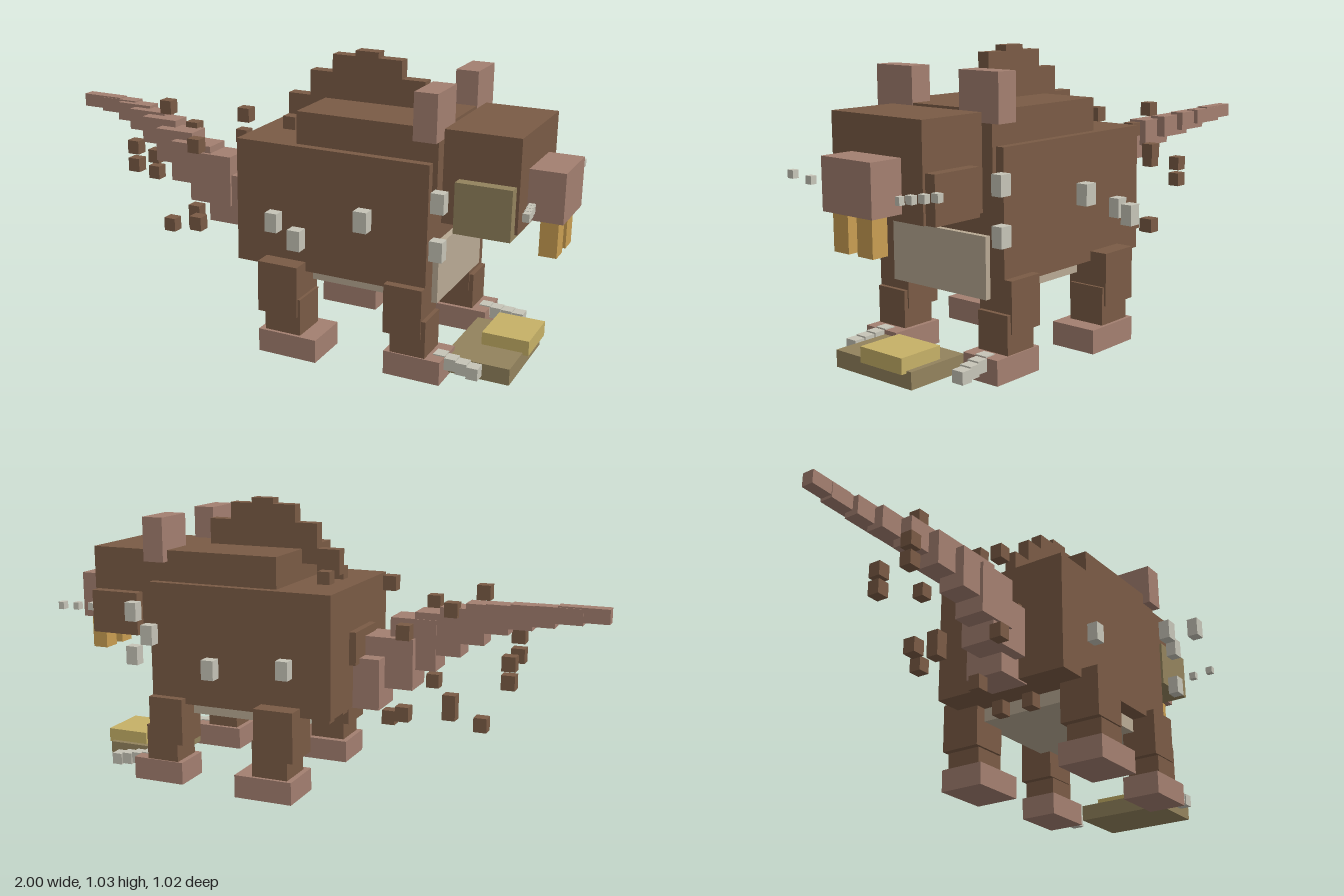
import * as THREE from 'three';

const mat = (name, color) => {
  const m = new THREE.MeshStandardMaterial({ color });
  m.name = name;
  return m;
};

export function createModel() {
  const fur = mat('brown fur', 0x7a5b45);
  const skin = mat('pink skin', 0xa37f70);
  const claw = mat('pale claw', 0xc6c4b7);
  const cream = mat('cream belly', 0xb9aa94);
  const olive = mat('olive', 0x93835d);
  const yellow = mat('soft yellow', 0xc6b167);
  const tooth = mat('tooth amber', 0xc99e52);

  const model = new THREE.Group();
  model.name = 'blockRodent';

  // Box given by its limits on each axis
  const box = (name, m, x0, x1, y0, y1, z0, z1) => {
    const mesh = new THREE.Mesh(new THREE.BoxGeometry(x1 - x0, y1 - y0, z1 - z0), m);
    mesh.position.set((x0 + x1) / 2, (y0 + y1) / 2, (z0 + z1) / 2);
    mesh.name = name;
    model.add(mesh);
  };
  // Box given by its centre and size
  const block = (name, m, x, y, z, w, h, d) =>
    box(name, m, x - w / 2, x + w / 2, y - h / 2, y + h / 2, z - d / 2, z + d / 2);
  // Pair mirrored across z = 0
  const pair = (name, m, x0, x1, y0, y1, z0, z1) => {
    box(name, m, x0, x1, y0, y1, z0, z1);
    box(name, m, x0, x1, y0, y1, -z1, -z0);
  };

  // Trunk
  box('body', fur, -0.10, 0.605, 0.30, 0.74, -0.27, 0.27);
  box('shoulderHump', fur, 0.115, 0.622, 0.60, 0.853, -0.24, 0.24);
  box('belly', cream, 0.06, 0.625, 0.25, 0.455, -0.21, 0.21);
  box('rump', fur, -0.125, 0, 0.46, 0.58, -0.10, 0.10);

  // Stepped crest
  [0.857, 0.947, 1.01, 1.03, 1.01, 0.947].forEach((top, i) => {
    const x = -0.03 + i * 0.086;
    box('crest', fur, x, x + 0.086, i ? 0.80 : 0.765, top, -0.023, 0.023);
  });

  // Head
  box('head', fur, 0.625, 0.88, 0.53, 0.845, -0.20, 0.20);
  box('snout', skin, 0.88, 1.0, 0.555, 0.725, -0.11, 0.11);
  box('leftCheek', olive, 0.68, 0.87, 0.515, 0.687, 0.085, 0.24);
  box('rightCheek', fur, 0.68, 0.87, 0.53, 0.687, -0.24, -0.19);
  pair('ear', skin, 0.545, 0.625, 0.812, 0.972, 0.105, 0.27);
  pair('tooth', tooth, 0.92, 0.98, 0.43, 0.555, 0.02, 0.087);

  // Legs
  pair('frontUpperLeg', fur, 0.47, 0.605, 0.15, 0.322, 0.165, 0.30);
  pair('frontLowerLeg', fur, 0.495, 0.62, 0.08, 0.213, 0.17, 0.295);
  pair('frontFoot', skin, 0.475, 0.675, 0, 0.083, 0.155, 0.30);
  pair('backUpperLeg', fur, 0.015, 0.165, 0.15, 0.333, 0.18, 0.335);
  pair('backLowerLeg', fur, 0.04, 0.175, 0.08, 0.215, 0.19, 0.328);
  pair('backFoot', skin, 0.02, 0.24, 0, 0.083, 0.165, 0.34);

  // Tail segments: x0, x1, y0, y1, z centre, z width
  [
    [-0.20, -0.05, 0.295, 0.48, 0.01, 0.15],
    [-0.305, -0.12, 0.365, 0.55, 0.06, 0.135],
    [-0.38, -0.21, 0.435, 0.62, 0.08, 0.115],
    [-0.47, -0.30, 0.495, 0.645, 0.075, 0.10],
    [-0.56, -0.40, 0.55, 0.675, 0.045, 0.09],
    [-0.65, -0.50, 0.60, 0.70, 0.01, 0.075],
    [-0.74, -0.58, 0.63, 0.71, -0.03, 0.065],
    [-0.82, -0.67, 0.65, 0.72, -0.06, 0.055],
    [-0.915, -0.755, 0.67, 0.725, -0.08, 0.05],
    [-1.0, -0.83, 0.68, 0.73, -0.08, 0.045],
  ].forEach(([x0, x1, y0, y1, z, w]) =>
    box('tailSegment', skin, x0, x1, y0, y1, z - w / 2, z + w / 2));

  // Loose fur tufts around the tail and rump
  [
    [0.005, 0.76, 0.065], [0.005, 0.76, -0.065], [0.005, 0.255, 0.065], [0.005, 0.255, -0.065],
    [-0.22, 0.75, 0], [-0.22, 0.26, 0],
    [-0.33, 0.66, 0.17], [-0.33, 0.615, -0.17], [-0.33, 0.365, 0.17], [-0.33, 0.33, -0.17],
    [-0.445, 0.67, 0], [-0.445, 0.34, 0], [-0.445, 0.30, 0],
    [-0.56, 0.74, 0], [-0.56, 0.27, 0],
    [-0.67, 0.585, 0.065], [-0.67, 0.515, 0.065], [-0.67, 0.515, -0.065], [-0.67, 0.45, -0.065],
  ].forEach(([x, y, z]) => block('furTuft', fur, x, y, z, 0.048, 0.052, 0.045));

  for (const s of [1, -1]) {
    // Floating side spines
    [
      [0.06, 0.475, 0.305], [0.245, 0.503, 0.49], [0.475, 0.603, 0.49],
      [0.655, 0.635, 0.305], [0.655, 0.475, 0.305],
    ].forEach(([x, y, z]) => block('sideSpine', claw, x, y, s * z, 0.045, 0.068, 0.04));

    // Whiskers sweep outward from the snout
    for (let i = 0; i < 4; i++)
      block('whisker', claw, 0.897 + i * 0.015, 0.599 + i * 0.0135, s * (0.115 + i * 0.069),
        0.022, 0.027, 0.027);

    // Front claws
    for (let i = 0; i < 4; i++)
      block('frontClaw', claw, 0.655 + i * 0.04, 0.066 - i * 0.005, s * (0.23 + i * 0.005),
        0.04, 0.042, 0.045);
  }

  // Slabs in front of the feet
  box('lowerSlab', olive, 0.655, 0.885, 0.01, 0.068, -0.137, 0.21);
  box('upperSlab', yellow, 0.74, 0.905, 0.06, 0.113, -0.117, 0.07);

  return model;
}
